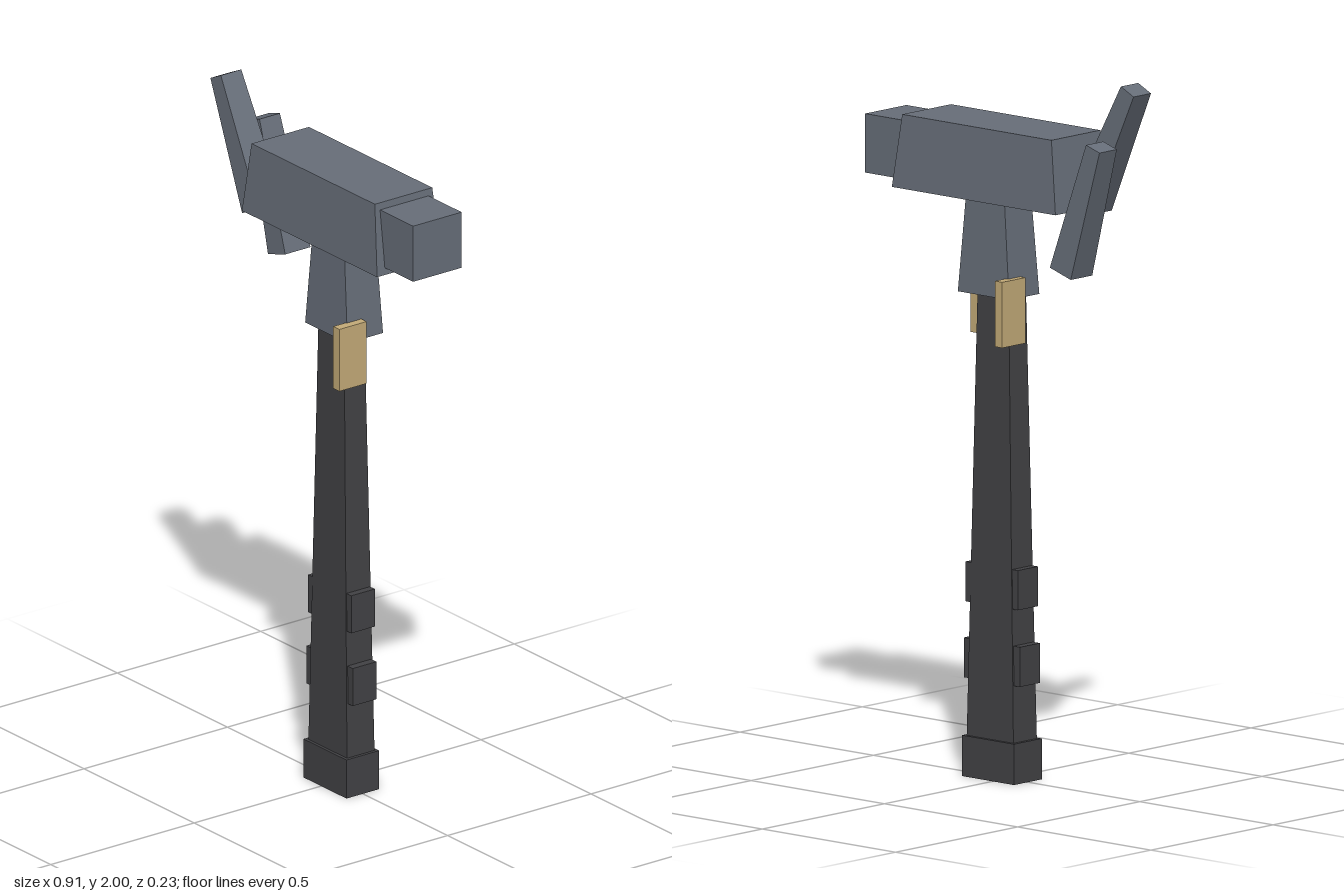
import * as THREE from 'three';

const steel = new THREE.MeshStandardMaterial({ color: 0x676e79, flatShading: true });
const grip = new THREE.MeshStandardMaterial({ color: 0x424245, flatShading: true });
const brass = new THREE.MeshStandardMaterial({ color: 0xc4ab78, flatShading: true });

// Box of height h whose bottom [width, depth] tapers to its top [width, depth]
function taperedBox(name, material, bottom, top, h) {
  const geo = new THREE.BoxGeometry(1, h, 1);
  const p = geo.attributes.position;
  for (let i = 0; i < p.count; i++) {
    const [w, d] = p.getY(i) > 0 ? top : bottom;
    p.setX(i, p.getX(i) * w);
    p.setZ(i, p.getZ(i) * d);
  }
  geo.computeVertexNormals();
  const mesh = new THREE.Mesh(geo, material);
  mesh.name = name;
  return mesh;
}

// Plain box given by its [min, max] extents
function block(name, material, [x0, x1], [y0, y1], [z0, z1]) {
  const mesh = new THREE.Mesh(new THREE.BoxGeometry(x1 - x0, y1 - y0, z1 - z0), material);
  mesh.position.set((x0 + x1) / 2, (y0 + y1) / 2, (z0 + z1) / 2);
  mesh.name = name;
  return mesh;
}

export function createModel() {
  const model = new THREE.Group();
  model.name = 'clawHammer';

  // Handle with butt and two grip bands
  const handle = taperedBox('handle', grip, [0.18, 0.098], [0.115, 0.07], 1.4);
  handle.position.set(0.018, 0.71, 0);
  model.add(handle);
  model.add(block('butt', grip, [-0.08, 0.115], [0, 0.115], [-0.057, 0.057]));
  model.add(block('lowerGripBand', grip, [-0.088, 0.123], [0.275, 0.387], [-0.041, 0.041]));
  model.add(block('upperGripBand', grip, [-0.08, 0.116], [0.49, 0.602], [-0.041, 0.041]));

  // Collar joining the handle to the head
  const collar = taperedBox('collar', steel, [0.192, 0.124], [0.14, 0.108], 0.3);
  collar.position.set(0.03, 1.515, 0);
  model.add(collar);

  // Staggered side plates
  model.add(block('leftPlate', brass, [0.117, 0.145], [1.238, 1.423], [0.01, 0.105]));
  model.add(block('rightPlate', brass, [-0.08, -0.052], [1.238, 1.423], [-0.105, -0.01]));

  // Head and striking face
  const head = taperedBox('head', steel, [0.614, 0.226], [0.56, 0.2], 0.206);
  head.position.set(0.02, 1.743, 0);
  model.add(head);
  model.add(block('strikingFace', steel, [0.25, 0.453], [1.66, 1.826], [-0.085, 0.084]));

  // Two claws at different heights and tilts: [name, root, tip, z]
  const claws = [
    ['frontClaw', [-0.265, 1.643], [-0.433, 1.988], 0.057],
    ['backClaw', [-0.296, 1.475], [-0.41, 1.84], -0.059],
  ];
  for (const [name, [x0, y0], [x1, y1], z] of claws) {
    const claw = taperedBox(name, steel, [0.082, 0.088], [0.053, 0.071], Math.hypot(x1 - x0, y1 - y0));
    claw.position.set((x0 + x1) / 2, (y0 + y1) / 2, z);
    claw.rotation.z = Math.atan2(x0 - x1, y1 - y0);
    model.add(claw);
  }
  return model;
}
